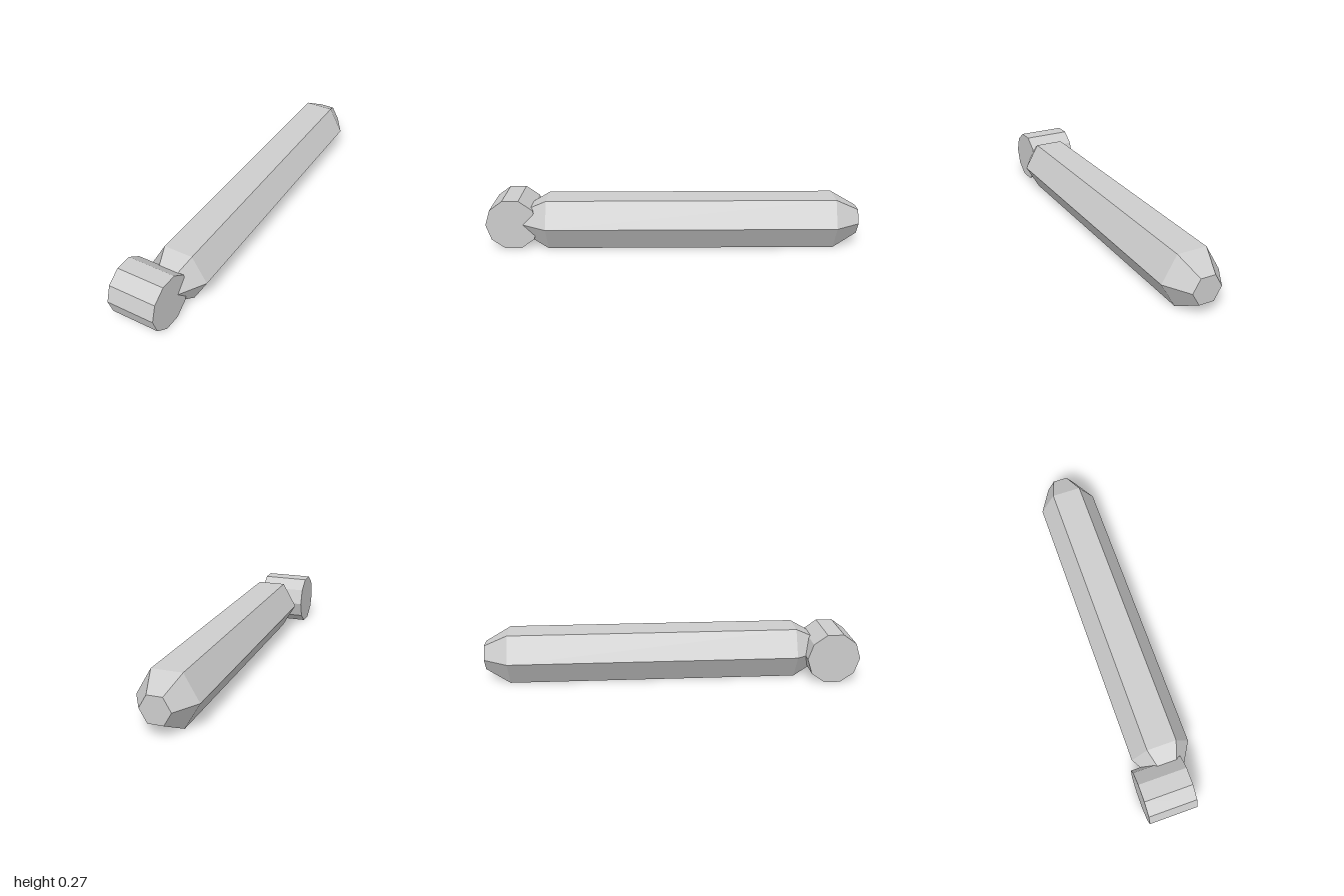
import * as THREE from 'three';

export function createModel() {
  const group = new THREE.Group();
  const grey = new THREE.MeshStandardMaterial({ color: 0xcccccc, flatShading: true });
  grey.name = 'light grey';

  const add = (name, geometry, x, y, z) => {
    const mesh = new THREE.Mesh(geometry, grey);
    mesh.name = name;
    mesh.position.set(x, y, z);
    group.add(mesh);
  };

  // Six-sided bar along z, tapering to half its radius at both ends
  const R = 0.155, r = R / 2;
  const profile = [[0, -1], [r, -1], [R, -0.87], [R, 0.67], [r, 0.8], [0, 0.8]]
    .map(([radius, along]) => new THREE.Vector2(radius, along));
  const bar = new THREE.LatheGeometry(profile, 6, Math.PI / 2).toNonIndexed();
  bar.rotateX(Math.PI / 2);
  bar.computeVertexNormals();
  add('bar', bar, 0.01, 0.134, 0);

  // Ten-sided crosswise knuckle at the front end
  const knuckle = new THREE.CylinderGeometry(0.141, 0.141, 0.255, 10);
  knuckle.rotateZ(Math.PI / 2);
  add('knuckle', knuckle, -0.04, 0.134, 0.859);

  return group;
}
